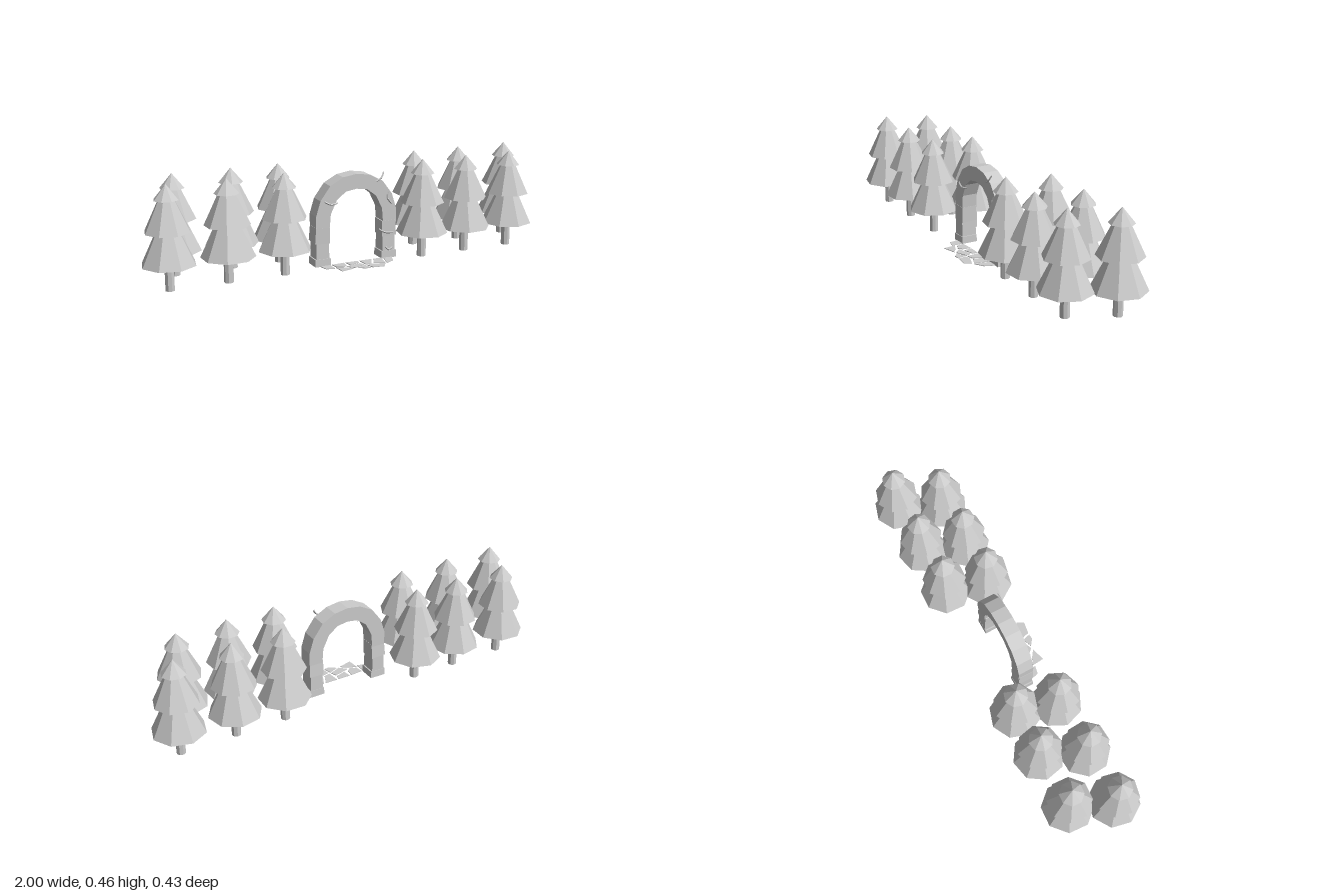
import * as THREE from 'three';

const stone = new THREE.MeshStandardMaterial({ color: 0xcccccc, flatShading: true });

function add(parent, name, geometry, x = 0, y = 0, z = 0) {
  const mesh = new THREE.Mesh(geometry, stone);
  mesh.name = name;
  mesh.position.set(x, y, z);
  parent.add(mesh);
  return mesh;
}

// Low-poly conifer: trunk and three overlapping tiers
function createTree(x, z, turn) {
  const tree = new THREE.Group();
  tree.name = 'tree';
  add(tree, 'trunk', new THREE.CylinderGeometry(0.021, 0.021, 0.12, 8), 0, 0.06, 0);
  const tiers = [ // base y, top y, base radius, top radius
    ['lowerTier', 0.115, 0.262, 0.12, 0.05],
    ['middleTier', 0.258, 0.398, 0.101, 0.034],
    ['topTier', 0.395, 0.461, 0.055, 0],
  ];
  for (const [name, y0, y1, r0, r1] of tiers) {
    add(tree, name, new THREE.CylinderGeometry(r1, r0, y1 - y0, 8), 0, (y0 + y1) / 2, 0);
  }
  tree.position.set(x, 0, z);
  tree.rotation.y = turn;
  return tree;
}

// Block with a slightly tapered top
function block(w, h, d, taper) {
  const g = new THREE.BoxGeometry(w, h, d);
  const p = g.attributes.position;
  for (let i = 0; i < p.count; i++) {
    if (p.getY(i) > 0) p.setXYZ(i, p.getX(i) * taper, p.getY(i), p.getZ(i) * taper);
  }
  g.computeVertexNormals();
  return g;
}

function createArch() {
  const arch = new THREE.Group();
  arch.name = 'archway';

  // Stacked pillar stones on both sides
  for (const side of [-1, 1]) {
    const pillar = new THREE.Group();
    pillar.name = side > 0 ? 'leftPillar' : 'rightPillar';
    add(pillar, 'plinth', block(0.076, 0.034, 0.079, 0.98), 0, 0.017, 0.027);
    add(pillar, 'lowerBlock', block(0.063, 0.08, 0.074, 0.97), 0, 0.07, 0.026);
    const upper = add(pillar, 'upperBlock', block(0.072, 0.074, 0.076, 0.95), 0, 0.144, 0.026);
    upper.rotation.set(0.04, 0, side * 0.04);
    pillar.position.x = side * 0.166 + 0.002;
    arch.add(pillar);
  }

  // Curved top, outlined from mirrored outer and inner edges
  const outer = [[0.2, 0.17], [0.2, 0.235], [0.178, 0.305], [0.13, 0.37], [0.066, 0.404], [0, 0.414]];
  const inner = [[0, 0.345], [0.053, 0.337], [0.098, 0.302], [0.128, 0.24], [0.134, 0.17]];
  const mirror = (pts) => pts.slice().reverse().map(([x, y]) => [-x, y]);
  const outline = [...outer, ...mirror(outer).slice(1), ...mirror(inner), ...inner.slice(1)];
  const shape = new THREE.Shape(outline.map(([x, y]) => new THREE.Vector2(x, y)));
  add(arch, 'archTop', new THREE.ExtrudeGeometry(shape, { depth: 0.075, bevelEnabled: false }), 0.004, 0, -0.012);

  // Small bent twigs clinging to the stone
  const twigs = [
    [[0.1, 0.37, 0.064], [0.125, 0.385, 0.067], [0.14, 0.41, 0.06]],
    [[-0.155, 0.3, 0.064], [-0.125, 0.285, 0.068], [-0.09, 0.288, 0.06]],
    [[0.12, 0.14, 0.055], [0.145, 0.125, 0.066], [0.19, 0.12, 0.067]],
    [[0.15, 0.055, 0.066], [0.165, 0.04, 0.069], [0.185, 0.05, 0.067]],
    [[0.165, 0.32, 0.064], [0.155, 0.29, 0.068], [0.18, 0.26, 0.066]],
  ];
  for (const points of twigs) {
    const curve = new THREE.CatmullRomCurve3(points.map((p) => new THREE.Vector3(...p)));
    add(arch, 'twig', new THREE.TubeGeometry(curve, 4, 0.004, 4));
  }
  return arch;
}

// Irregular paving stones, each a list of [x, z] corners
function createPath() {
  const path = new THREE.Group();
  path.name = 'pavingPath';
  const stones = [
    [[-0.18, 0.06], [-0.13, 0.06], [-0.128, 0.118], [-0.168, 0.11]],
    [[-0.12, 0.065], [-0.06, 0.06], [-0.065, 0.1], [-0.085, 0.115], [-0.115, 0.1]],
    [[-0.12, 0.11], [-0.085, 0.125], [-0.05, 0.15], [-0.115, 0.168]],
    [[-0.05, 0.06], [0.01, 0.06], [0.005, 0.085], [-0.045, 0.1]],
    [[-0.07, 0.115], [0.005, 0.095], [0.015, 0.122], [-0.04, 0.145]],
    [[-0.03, 0.15], [0.015, 0.13], [0.025, 0.17], [0, 0.172]],
    [[0.02, 0.06], [0.08, 0.06], [0.055, 0.115], [0.025, 0.122]],
    [[0.025, 0.132], [0.055, 0.125], [0.11, 0.145], [0.09, 0.178], [0.035, 0.17]],
    [[0.09, 0.06], [0.13, 0.062], [0.115, 0.135], [0.065, 0.115]],
    [[0.14, 0.064], [0.185, 0.06], [0.165, 0.115], [0.122, 0.14]],
  ];
  for (const corners of stones) {
    const shape = new THREE.Shape(corners.map(([x, z]) => new THREE.Vector2(x, -z)));
    const geometry = new THREE.ExtrudeGeometry(shape, { depth: 0.003, bevelEnabled: false });
    add(path, 'pavingStone', geometry.rotateX(-Math.PI / 2));
  }
  return path;
}

export function createModel() {
  const model = new THREE.Group();
  model.name = 'archwayBetweenTrees';
  model.add(createArch(), createPath());

  // Two staggered rows of trees on each side of the arch
  const rows = [
    [0.097, [-0.88, -0.62, -0.36, 0.322, 0.55, 0.785]],
    [-0.095, [-0.803, -0.538, -0.315, 0.378, 0.62, 0.88]],
  ];
  rows.forEach(([z, xs], r) => {
    xs.forEach((x, i) => model.add(createTree(x, z, 0.18 + i * 0.27 + r * 0.15)));
  });
  return model;
}
